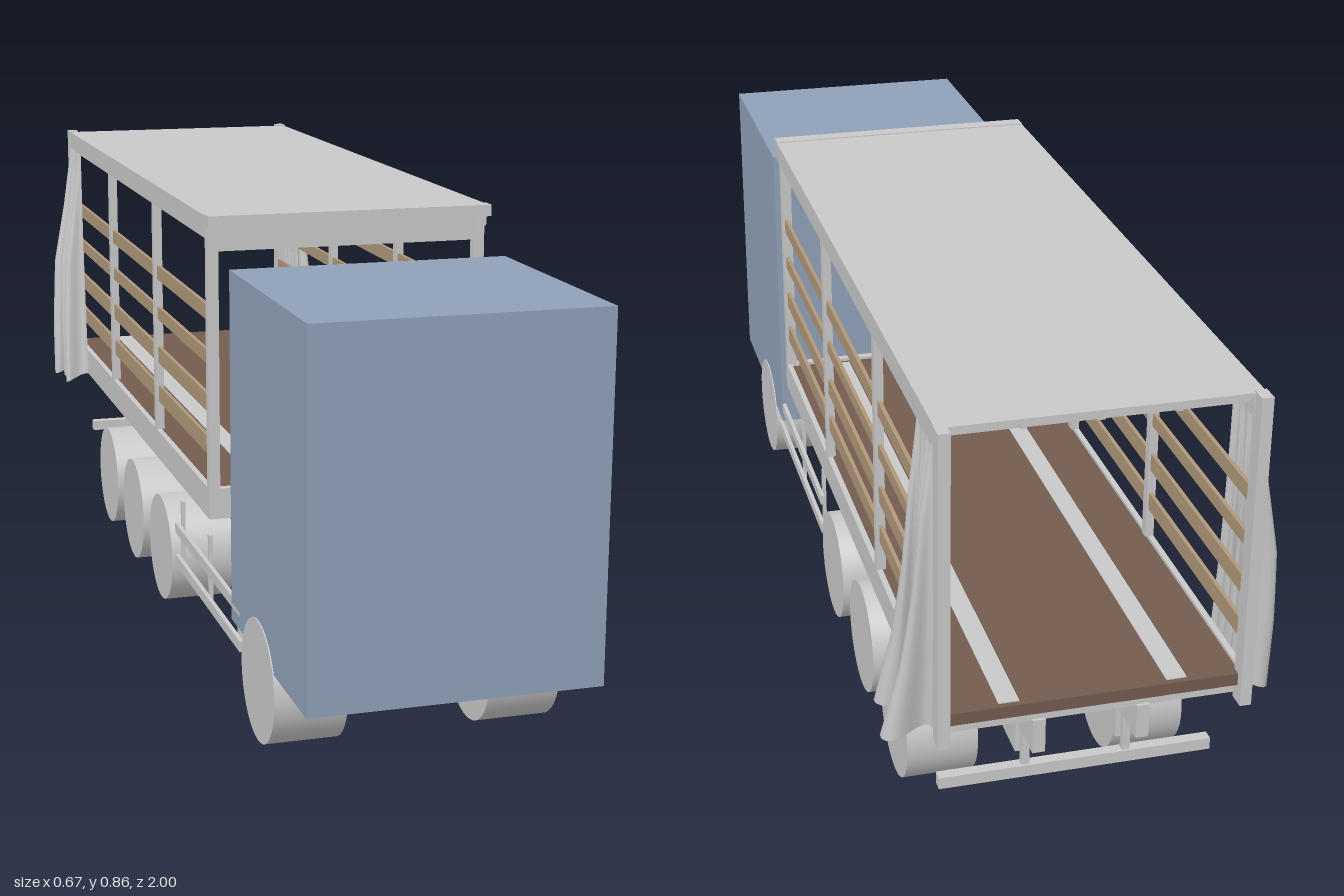
import * as THREE from 'three';

export function createModel() {
  const model = new THREE.Group();
  model.name = 'curtainTruck';
  const mat = (name, color, side = THREE.FrontSide) => {
    const m = new THREE.MeshStandardMaterial({ color, side });
    m.name = name;
    return m;
  };
  const grey = mat('light grey', 0xc8c8c8, THREE.DoubleSide);
  const blue = mat('cab blue', 0x8fa0b8);
  const tan = mat('slat tan', 0xb0977a);
  const brown = mat('floor brown', 0x735b4e);

  // the truck's own centre line sits slightly off x = 0
  const truck = new THREE.Group();
  truck.name = 'truck';
  truck.position.x = -0.012;
  model.add(truck);

  const add = (name, geometry, material) => {
    const m = new THREE.Mesh(geometry, material);
    m.name = name;
    truck.add(m);
    return m;
  };
  // box given by its limits
  const box = (name, material, x0, x1, y0, y1, z0, z1) => {
    const m = add(name, new THREE.BoxGeometry(x1 - x0, y1 - y0, z1 - z0), material);
    m.position.set((x0 + x1) / 2, (y0 + y1) / 2, (z0 + z1) / 2);
    return m;
  };
  // the same box on both sides
  const pair = (name, material, x0, x1, ...rest) => {
    box(name, material, x0, x1, ...rest);
    box(name, material, -x1, -x0, ...rest);
  };

  // cab
  box('cab', blue, -0.252, 0.252, 0.155, 0.785, 0.525, 1);

  // chassis and subframe
  pair('chassisRail', grey, 0.078, 0.1, 0.18, 0.245, -0.87, 0.53);
  pair('subframeRail', grey, 0.078, 0.1, 0.245, 0.308, -0.97, 0.4);
  for (let i = 0; i < 15; i++) {
    const z = 0.36 - i * 0.094;
    box('floorBeam', grey, -0.25, 0.25, 0.305, 0.332, z - 0.008, z + 0.008);
  }

  // load floor with two long strips
  box('floor', brown, -0.25, 0.25, 0.332, 0.354, -0.985, 0.385);
  pair('floorStrip', grey, 0.125, 0.16, 0.354, 0.356, -0.975, 0.375);
  pair('sideRail', grey, 0.25, 0.2605, 0.303, 0.36, -0.985, 0.4);
  box('frontRail', grey, -0.25, 0.25, 0.303, 0.36, 0.385, 0.4);

  // posts and side slats
  pair('frontPost', grey, 0.24, 0.2605, 0.36, 0.84, 0.383, 0.4);
  for (const z of [-0.06, -0.515]) pair('sidePost', grey, 0.244, 0.2605, 0.36, 0.825, z - 0.009, z + 0.009);
  pair('rearPost', grey, 0.246, 0.266, 0.3, 0.862, -1, -0.968);
  for (const [y0, y1] of [[0.417, 0.45], [0.497, 0.53], [0.586, 0.611], [0.667, 0.695]])
    pair('sideSlat', tan, 0.248, 0.255, y0, y1, -0.968, 0.385);

  // roof
  box('roofPanel', grey, -0.262, 0.262, 0.852, 0.86, -0.975, 0.41);
  pair('roofSideRail', grey, 0.244, 0.264, 0.82, 0.86, -0.975, 0.4);
  box('frontHeader', grey, -0.242, 0.242, 0.795, 0.845, 0.385, 0.398);
  box('frontLip', grey, -0.264, 0.264, 0.841, 0.862, 0.395, 0.425);
  for (let i = 0; i < 10; i++) {
    const z = 0.27 - i * 0.136;
    box('roofRib', grey, -0.245, 0.245, 0.838, 0.852, z - 0.006, z + 0.006);
  }
  for (const x of [-0.125, 0, 0.125])
    box('roofPurlin', grey, x - 0.005, x + 0.005, 0.841, 0.852, -0.97, 0.39);

  // wheels: two tyres side by side at each end of an axle
  for (const z of [0.71, -0.06, -0.34, -0.62]) {
    for (const s of [-1, 1]) {
      for (const [x0, x1] of [[0.126, 0.198], [0.198, 0.254]]) {
        const wheel = add('wheel', new THREE.CylinderGeometry(0.108, 0.108, x1 - x0, 40), grey);
        wheel.rotation.z = Math.PI / 2;
        wheel.position.set(s * (x0 + x1) / 2, 0.109, z);
      }
    }
  }

  // side guards
  pair('guardLowerBar', grey, 0.244, 0.252, 0.112, 0.132, 0.07, 0.58);
  pair('guardUpperBar', grey, 0.244, 0.252, 0.178, 0.198, 0.07, 0.58);
  pair('guardPost', grey, 0.237, 0.244, 0.115, 0.19, 0.535, 0.549);
  for (const z of [0.32, 0.092])
    pair('guardPost', grey, 0.237, 0.244, 0.115, 0.248, z - 0.006, z + 0.006);

  // rear underrun bar
  box('rearBar', grey, -0.24, 0.24, 0.148, 0.17, -0.9, -0.88);
  pair('rearBarHanger', grey, 0.082, 0.096, 0.165, 0.25, -0.896, -0.884);

  // gathered curtains: pleated sheet closed against the side, swelling downwards
  const spread = { 1: [0.004, 0.022, 0.034, 0.052, 0.082], [-1]: [0.006, 0.026, 0.052, 0.06, 0.062] };
  for (const s of [1, -1]) {
    const cols = 64, rows = 20;
    const g = new THREE.PlaneGeometry(1, 1, cols, rows);
    const p = g.attributes.position;
    for (let i = 0; i < p.count; i++) {
      const u = p.getX(i) + 0.5;
      const t = 0.5 - p.getY(i);
      const k = Math.min(3, Math.floor(t * 4));
      const out = THREE.MathUtils.lerp(spread[s][k], spread[s][k + 1], t * 4 - k);
      const fold = 0.5 - 0.5 * Math.cos(u * Math.PI * 8 + 0.6 * Math.sin(t * 4) * Math.sin(u * Math.PI));
      const height = 0.75 + 0.25 * Math.sin(u * 7 + 0.5);
      const z = THREE.MathUtils.lerp(-0.965, -0.848, u) + t * t * THREE.MathUtils.lerp(0.02, 0.037, u)
        + 0.012 * t * Math.sin(u * Math.PI * 16);
      p.setXYZ(i, s * (0.262 + out * fold * height), 0.825 - 0.52 * t - 0.018 * t * fold, z);
    }
    g.computeVertexNormals();
    add('curtain', g, grey);
  }
  return model;
}
